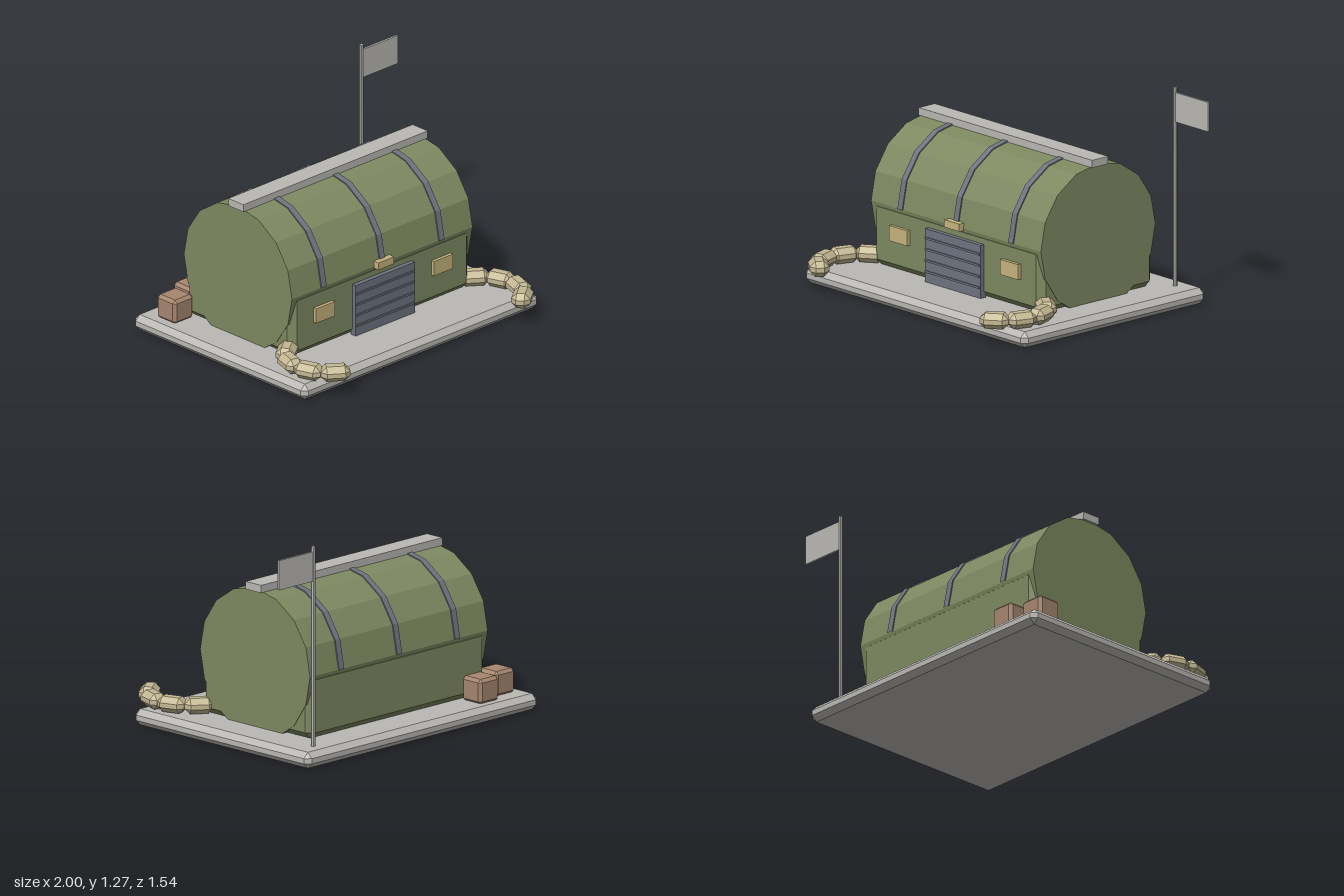
import * as THREE from 'three';
import { ConvexGeometry } from 'three/addons/geometries/ConvexGeometry.js';

function material(name, color) {
  const m = new THREE.MeshStandardMaterial({ color, flatShading: true });
  m.name = name;
  return m;
}

// Box with every edge and corner cut by c, centred on the origin
function chamferBox(w, h, d, c) {
  const points = [];
  for (const sx of [-1, 1]) for (const sy of [-1, 1]) for (const sz of [-1, 1]) {
    const x = w / 2, y = h / 2, z = d / 2;
    points.push(
      new THREE.Vector3(sx * x, sy * (y - c), sz * (z - c)),
      new THREE.Vector3(sx * (x - c), sy * y, sz * (z - c)),
      new THREE.Vector3(sx * (x - c), sy * (y - c), sz * z)
    );
  }
  return new ConvexGeometry(points);
}

export function createModel() {
  const model = new THREE.Group();
  model.name = 'hangar';

  const olive = material('olive', 0x7e8961);
  const concrete = material('concrete', 0xbab9b5);
  const slate = material('slate', 0x6f7480);
  const amber = material('amber', 0xc6b57e);
  const canvas = material('canvas', 0xc5b994);
  const wood = material('wood', 0xa6866f);

  const add = (name, geometry, mat, x, y, z, parent = model) => {
    const mesh = new THREE.Mesh(geometry, mat);
    mesh.name = name;
    mesh.position.set(x, y, z);
    parent.add(mesh);
    return mesh;
  };
  // Plain or chamfered box given by its limits on each axis
  const block = (name, mat, [x0, x1], [y0, y1], [z0, z1], chamfer = 0) => {
    const size = [x1 - x0, y1 - y0, z1 - z0];
    const geometry = chamfer ? chamferBox(...size, chamfer) : new THREE.BoxGeometry(...size);
    return add(name, geometry, mat, (x0 + x1) / 2, (y0 + y1) / 2, (z0 + z1) / 2);
  };

  const midX = -0.065, midY = 0.468, midZ = -0.135;

  // Ground slab
  block('slab', concrete, [-1, 0.87], [0, 0.095], [-0.775, 0.632], 0.032);

  // Barrel hull and the lower walls around it
  const hull = new THREE.CylinderGeometry(0.44, 0.44, 1.432, 16).rotateZ(Math.PI / 2);
  add('hull', hull, olive, midX, midY, midZ);
  block('lowerWalls', olive, [-0.778, 0.648], [0.092, 0.483], [-0.572, 0.302], 0.04);

  // Roof straps and ridge
  const strap = new THREE.CylinderGeometry(0.447, 0.447, 0.04, 8, 1, false, 0, Math.PI).rotateZ(Math.PI / 2);
  for (const offset of [-0.467, 0, 0.467]) add('roofStrap', strap, slate, midX + offset, midY, midZ);
  block('roofRidge', concrete, [-0.796, 0.666], [0.895, 0.94], [-0.198, -0.075]);

  // Door with slats
  block('door', slate, [-0.3, 0.17], [0.095, 0.41], [0.29, 0.33]);
  for (let i = 0; i < 4; i++) {
    const y = 0.158 + i * 0.066;
    block('doorSlat', slate, [-0.295, 0.165], [y - 0.006, y + 0.006], [0.325, 0.337]);
  }

  // Lamp above the door and the two windows
  block('doorLamp', amber, [-0.128, -0.002], [0.456, 0.5], [0.28, 0.338]);
  for (const side of [-1, 1]) {
    const x = midX + side * 0.468;
    block('window', amber, [x - 0.076, x + 0.076], [0.27, 0.36], [0.29, 0.323]);
  }

  // Flag and pole
  add('flagPole', new THREE.CylinderGeometry(0.013, 0.013, 1.18, 8), concrete, 0.717, 0.68, -0.667);
  block('flag', concrete, [0.722, 1], [1.066, 1.24], [-0.674, -0.66]);

  // Crates behind the hangar
  block('crate', wood, [-0.74, -0.585], [0.09, 0.237], [-0.712, -0.557], 0.018);
  block('crate', wood, [-0.925, -0.77], [0.09, 0.237], [-0.655, -0.5], 0.018);

  // Curved sandbag rows on both sides of the entrance
  const bag = chamferBox(0.112, 0.092, 0.17, 0.032);
  for (const side of [-1, 1]) {
    const row = new THREE.Group();
    row.name = side < 0 ? 'rightSandbags' : 'leftSandbags';
    row.position.set(midX + side * 0.6, 0.145, 0.487);
    for (const degrees of [-54, -18, 18, 54]) {
      const a = THREE.MathUtils.degToRad(degrees);
      const mesh = add('sandbag', bag, canvas, side * 0.243 * Math.cos(a), 0, 0.243 * Math.sin(a), row);
      mesh.rotation.y = -side * a;
    }
    model.add(row);
  }

  return model;
}
